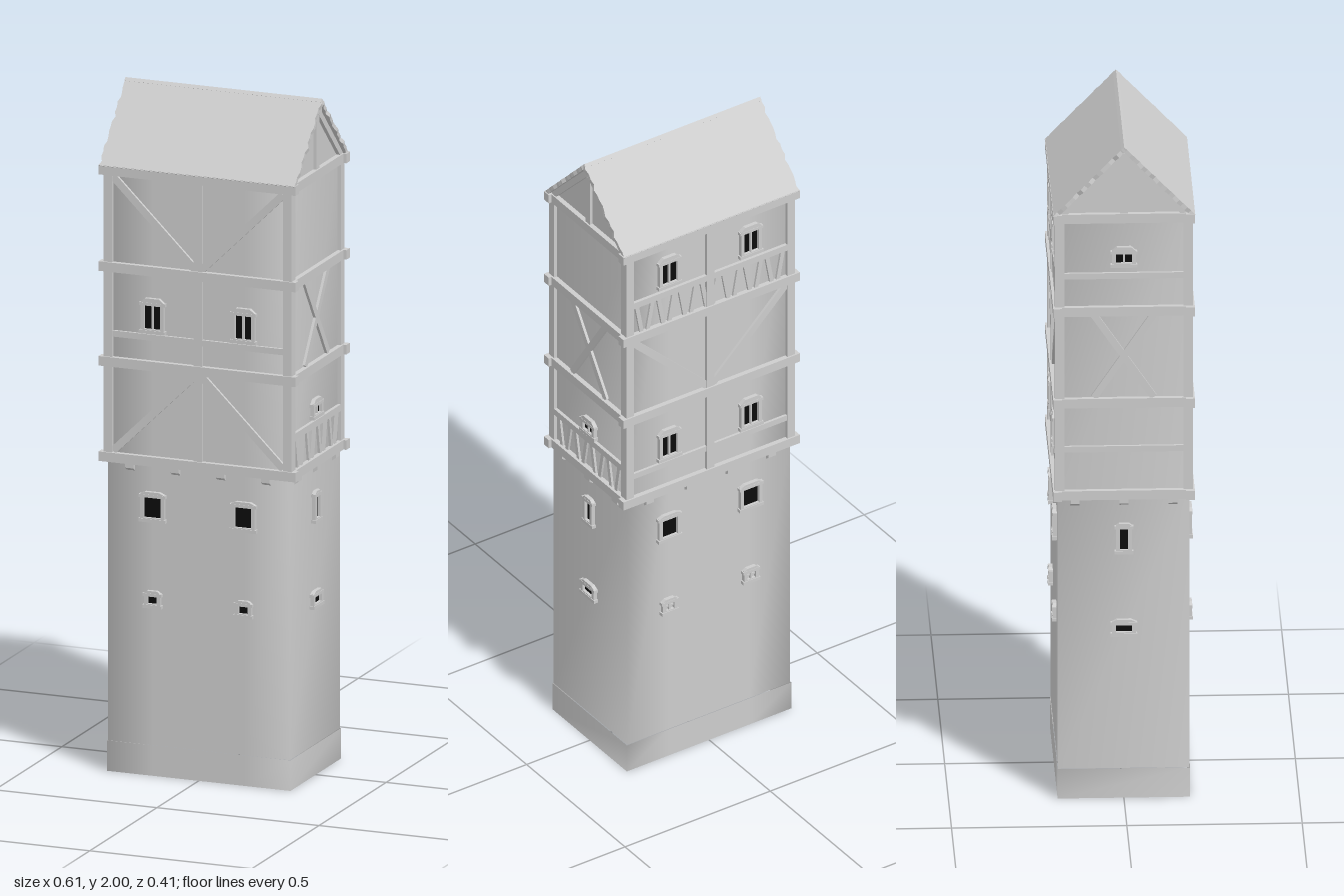
import * as THREE from 'three';
import { mergeVertices } from 'three/addons/utils/BufferGeometryUtils.js';

const stone = new THREE.MeshStandardMaterial({ color: 0xcccccc, side: THREE.DoubleSide });
stone.name = 'pale grey';
const dark = new THREE.MeshStandardMaterial({ color: 0x0c0c0c });
dark.name = 'window black';

function add(parent, name, geo, mat = stone) {
  const m = new THREE.Mesh(geo, mat);
  m.name = name;
  parent.add(m);
  return m;
}

// Box in face coordinates: x, y centre, from depth z0 to z1
function block(g, name, x, y, w, h, z0, z1, mat) {
  const m = add(g, name, new THREE.BoxGeometry(w, h, z1 - z0), mat);
  m.position.set(x, y, (z0 + z1) / 2);
  return m;
}

// Straight timber between two points of a face
function brace(g, x1, y1, x2, y2, w = 0.022, z1 = 0.008) {
  const m = block(g, 'brace', (x1 + x2) / 2, (y1 + y2) / 2, Math.hypot(x2 - x1, y2 - y1), w, -0.004, z1);
  m.rotation.z = Math.atan2(y2 - y1, x2 - x1);
}

// Open four-sided wall with normals blended around the corners
function tube(w, d, y0, y1) {
  const xs = [-w / 2, -w / 4, w / 4, w / 2], pts = [];
  for (const x of xs) pts.push([x, d / 2]);
  for (const x of xs.slice().reverse()) pts.push([x, -d / 2]);
  pts.push(pts[0]);
  const pos = [], idx = [];
  pts.forEach(([x, z], i) => {
    pos.push(x, y0, z, x, y1, z);
    if (i) idx.push(2 * i - 2, 2 * i, 2 * i + 1, 2 * i - 2, 2 * i + 1, 2 * i - 1);
  });
  let geo = new THREE.BufferGeometry();
  geo.setAttribute('position', new THREE.Float32BufferAttribute(pos, 3));
  geo.setIndex(idx);
  geo = mergeVertices(geo);
  geo.computeVertexNormals();
  return geo;
}

// Framed window; arched ones have a raised head and a mullion
function opening(g, x, y, w, h, { arched = false, bars = false, pane = dark } = {}) {
  const win = new THREE.Group();
  win.name = 'window';
  win.position.set(x, y, 0);
  g.add(win);
  const t = 0.011, W = w / 2 + t, H = h / 2 + t, rise = arched ? 0.008 : 0.003;
  const s = new THREE.Shape([[-W, -H], [W, -H], [W, H - 0.004], [W * 0.6, H + rise], [-W * 0.6, H + rise], [-W, H - 0.004]]
    .map(p => new THREE.Vector2(...p)));
  s.holes.push(new THREE.Path([[-w / 2, -h / 2], [-w / 2, h / 2], [w / 2, h / 2], [w / 2, -h / 2]]
    .map(p => new THREE.Vector2(...p))));
  add(win, 'windowFrame', new THREE.ExtrudeGeometry(s, { depth: 0.012, bevelEnabled: false }));
  block(win, 'windowPane', 0, 0, w, h, 0, 0.003, pane);
  block(win, 'sill', 0, -H + 0.003, 2 * W + 0.008, 0.01, 0, 0.014);
  block(win, 'lintel', 0, H - 0.009, 2 * W + 0.008, 0.009, 0, 0.013);
  if (arched || bars) block(win, 'mullion', 0, 0, 0.006, h, 0.002, 0.009);
  if (bars) block(win, 'crossbar', 0, 0, w, 0.005, 0.002, 0.008);
}

// Rail carried by alternately leaning slats
function balustrade(g, half, y0, y1, count) {
  block(g, 'rail', 0, y1, 2 * half, 0.02, -0.004, 0.01);
  for (let i = 0; i < count; i++) {
    const x = ((i + 0.5) / count * 2 - 1) * half * 0.95, lean = i % 2 ? 0.009 : -0.009;
    brace(g, x - lean, y0, x + lean, y1 - 0.005, 0.013, 0.007);
  }
}

const FLOORS = [0.931, 1.213, 1.493, 1.778];

// Horizontal beams, posts and corbels shared by opposite faces
function frame(g, half, end, corbels, centrePost) {
  for (const y of FLOORS) block(g, 'floorBeam', 0, y, 2 * end, 0.028, -0.01, 0.015);
  const posts = centrePost ? [-half, 0, half] : [-half, half];
  for (const x of posts) block(g, 'post', x, 1.355, 0.026, 0.85, -0.01, 0.01);
  for (const x of corbels) {
    const s = new THREE.Shape([[0, 0], [0.013, 0.009], [0.013, 0.024], [-0.006, 0.024], [-0.006, 0]]
      .map(p => new THREE.Vector2(...p)));
    const m = add(g, 'corbel', new THREE.ExtrudeGeometry(s, { depth: 0.026, bevelEnabled: false }));
    m.rotation.y = -Math.PI / 2;
    m.position.set(x + 0.013, 0.896, 0);
  }
}

function side(root, name, angle, dist) {
  const g = new THREE.Group();
  g.name = name;
  g.rotation.y = angle;
  g.position.set(Math.sin(angle) * dist, 0, Math.cos(angle) * dist);
  root.add(g);
  return g;
}

function longFace(root, back) {
  const g = side(root, back ? 'backFace' : 'frontFace', back ? Math.PI : 0, 0.187);
  frame(g, 0.277, 0.304, [-0.21, -0.07, 0.07, 0.21], true);
  for (const s of [-1, 1]) {
    opening(g, s * 0.14, 0.795, 0.052, 0.062);
    opening(g, s * 0.14, 0.522, 0.028, 0.024, back ? { bars: true, pane: stone } : {});
    if (back) {
      // Windows in the lower and upper storey, braces between
      opening(g, s * 0.14, 1.08, 0.05, 0.072, { arched: true });
      opening(g, s * 0.14, 1.675, 0.05, 0.072, { arched: true });
      brace(g, s * 0.262, 1.475, s * 0.01, 1.232);
    } else {
      opening(g, s * 0.14, 1.357, 0.05, 0.072, { arched: true });
      brace(g, s * 0.262, 1.76, s * 0.01, 1.512);
      brace(g, s * 0.262, 0.95, s * 0.01, 1.197);
    }
  }
  block(g, 'rail', 0, back ? 1.015 : 1.296, 0.55, 0.018, -0.004, 0.008);
  if (back) balustrade(g, 0.275, 1.5, 1.605, 14);
}

function shortFace(root, left) {
  const g = side(root, left ? 'leftFace' : 'rightFace', left ? Math.PI / 2 : -Math.PI / 2, 0.28);
  frame(g, 0.183, 0.199, [-0.14, 0, 0.14], false);
  opening(g, 0, 0.795, 0.024, 0.066);
  opening(g, 0, 0.522, 0.046, 0.024);
  // Crossed braces in the middle storey
  for (const s of [-1, 1]) brace(g, s * 0.085, 1.228, -s * 0.085, 1.48, 0.02);
  if (left) {
    opening(g, 0, 1.083, 0.046, 0.026, { arched: true });
    balustrade(g, 0.175, 0.94, 1.042, 8);
  } else {
    opening(g, 0, 1.655, 0.046, 0.03, { arched: true });
    block(g, 'rail', 0, 1.6, 0.35, 0.018, -0.004, 0.008);
    block(g, 'rail', 0, 1.07, 0.35, 0.018, -0.004, 0.008);
  }
  // Gable wall with king post and rafters
  const tri = new THREE.Shape([[-0.187, 1.785], [0.187, 1.785], [0, 1.98]].map(p => new THREE.Vector2(...p)));
  add(g, 'gableWall', new THREE.ShapeGeometry(tri));
  block(g, 'kingPost', 0, 1.875, 0.022, 0.18, -0.004, 0.01);
  for (const s of [-1, 1]) brace(g, s * 0.175, 1.79, 0, 1.967, 0.018, 0.011);
}

// Roof slope with uneven gable edges
function roofSlope(root, back) {
  const L = 0.292, n = 18, shape = new THREE.Shape();
  const edge = (i, ph) => 0.302 + 0.0045 * Math.sin(i * 2.1 + ph) * Math.cos(i * 0.7 + ph);
  for (let i = 0; i <= n; i++) {
    const x = edge(i, back ? 1 : 2.5), y = -L * i / n;
    if (i) shape.lineTo(x, y); else shape.moveTo(x, y);
  }
  for (let i = n; i >= 0; i--) shape.lineTo(-edge(i, back ? 3 : 0.4), -L * i / n);
  const geo = new THREE.ExtrudeGeometry(shape, { depth: 0.012, bevelEnabled: false });
  geo.translate(0, 0, -0.012);
  geo.rotateX(-Math.atan2(0.203, 0.21));
  geo.translate(0, 2, 0);
  if (back) geo.rotateY(Math.PI);
  add(root, back ? 'backRoof' : 'frontRoof', geo);
}

export function createModel() {
  const root = new THREE.Group();
  root.name = 'timberTower';

  // Masonry shaft, plinth and upper storeys
  add(root, 'shaft', tube(0.56, 0.374, 0.09, 0.93));
  add(root, 'plinth', tube(0.566, 0.378, 0, 0.09));
  add(root, 'upperWalls', tube(0.56, 0.374, 0.93, 1.785));

  for (const flip of [false, true]) {
    longFace(root, flip);
    shortFace(root, flip);
    roofSlope(root, flip);
  }

  // Ridge beam ends
  const ridge = add(root, 'ridgeBeam', new THREE.BoxGeometry(0.596, 0.022, 0.02));
  ridge.position.y = 1.968;
  return root;
}
